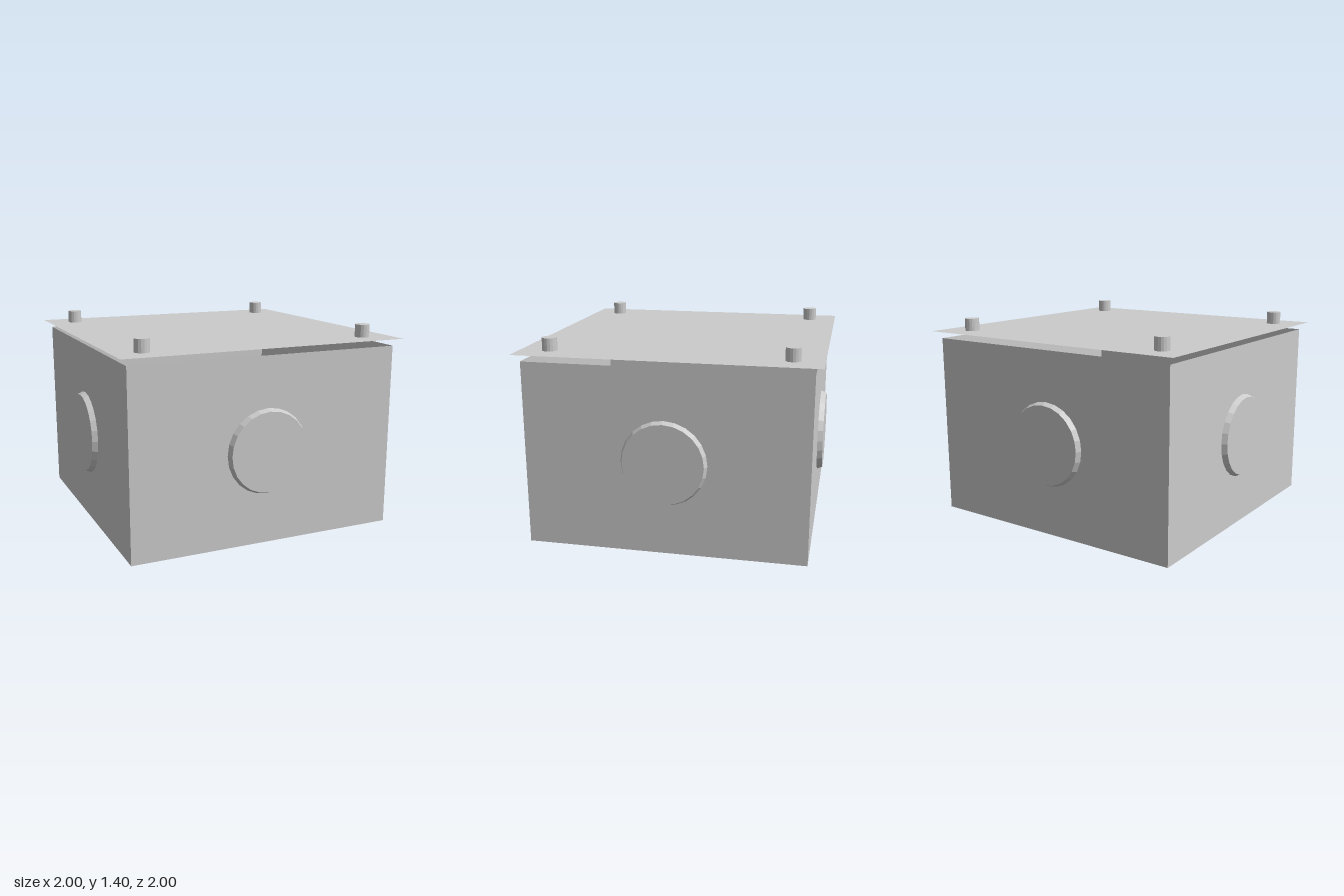
import * as THREE from 'three';

const HALF = 0.95;      // half width of the box
const HEIGHT = 1.267;   // wall height
const LID_Y = 1.318;    // lid floats just above the walls
const SCREW_H = 0.087;

const solid = new THREE.MeshStandardMaterial({ color: 0xcccccc, flatShading: true });
const sheet = new THREE.MeshStandardMaterial({ color: 0xcccccc, side: THREE.DoubleSide });

function addMesh(parent, name, geometry, material, x, y, z) {
  const mesh = new THREE.Mesh(geometry, material);
  mesh.name = name;
  mesh.position.set(x, y, z);
  parent.add(mesh);
  return mesh;
}

export function createModel() {
  const model = new THREE.Group();
  model.name = 'junctionBox';

  // Floor of the open-topped box, facing down
  const floorGeo = new THREE.PlaneGeometry(2 * HALF, 2 * HALF).rotateX(Math.PI / 2);
  addMesh(model, 'floor', floorGeo, sheet, 0, 0, 0);

  // Four sides, each a thin wall with a tapered round knockout
  const wallGeo = new THREE.PlaneGeometry(2 * HALF, HEIGHT);
  const knockoutGeo = new THREE.CylinderGeometry(0.273, 0.289, 0.037, 24).rotateX(Math.PI / 2);
  ['front', 'left', 'back', 'right'].forEach((side, i) => {
    const group = new THREE.Group();
    group.name = side + 'Side';
    group.rotation.y = i * Math.PI / 2;
    addMesh(group, 'wall', wallGeo, sheet, 0, HEIGHT / 2, HALF);
    addMesh(group, 'knockout', knockoutGeo, solid, 0, HEIGHT / 2, HALF + 0.0185);
    model.add(group);
  });

  // Thin overhanging lid
  const lidGeo = new THREE.PlaneGeometry(2, 2).rotateX(-Math.PI / 2);
  addMesh(model, 'lid', lidGeo, sheet, 0, LID_Y, 0);

  // Corner screws standing on the lid
  const screwGeo = new THREE.CylinderGeometry(0.05, 0.05, SCREW_H, 16);
  for (const x of [-0.8, 0.8]) {
    for (const z of [-0.8, 0.8]) {
      addMesh(model, 'screw', screwGeo, solid, x, LID_Y + SCREW_H / 2, z);
    }
  }

  return model;
}
